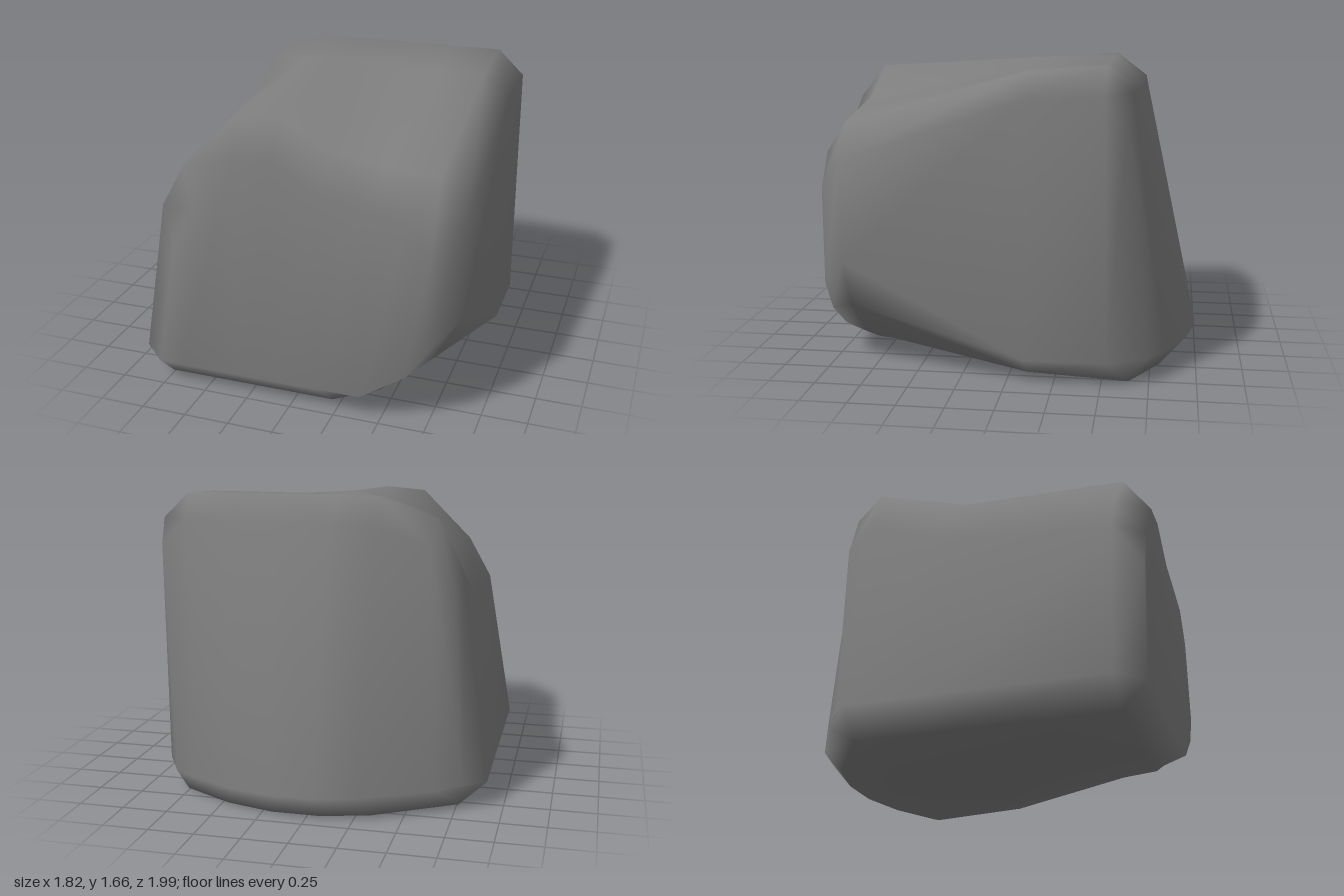
import * as THREE from 'three';

// Eight columns from -x to +x: positions along the base and along the top
const baseX = [-0.91, -0.76, -0.32, -0.06, 0.2, 0.47, 0.76, 0.905];
const topX = [-0.755, -0.62, -0.32, -0.08, 0.21, 0.5, 0.76, 0.905];

// Height of the top at each column: humped front, slightly hollow middle, full back
const frontTop = [1.03, 1.27, 1.57, 1.59, 1.44, 1.4, 1.36, 1.18];
const middleTop = [1.12, 1.39, 1.6, 1.65, 1.63, 1.63, 1.63, 1.5];
const backTop = [1.28, 1.555, 1.66, 1.66, 1.66, 1.66, 1.66, 1.52];

const COLS = baseX.length;
const RING = COLS * 2;
const BEVEL = 0.14;

const flat = (z) => () => z;
const bowedBase = (x) => -1 + 0.5 * (x - 0.07) ** 2;
const bowedEdge = (x) => (Math.abs(x) > 0.9 ? -0.53 : bowedBase(x) + 0.12);
const bowedTop = (x) => -0.69 + 0.09 * x * x;

// Sections from front to back; the rims are pulled in and lowered to form the bevels
const sections = [
  { top: frontTop, drop: 0.18, baseScale: 0.84, topScale: 0.84, lift: BEVEL, baseZ: flat(1), topZ: flat(1) },
  { top: frontTop, drop: 0, baseScale: 1, topScale: 1, lift: 0, baseZ: flat(0.86), topZ: flat(0.86) },
  { top: middleTop, drop: 0, baseScale: 1, topScale: 1, lift: 0, baseZ: flat(-0.1), topZ: flat(-0.1) },
  { top: backTop, drop: 0, baseScale: 1, topScale: 1, lift: 0, baseZ: bowedEdge, topZ: flat(-0.51) },
  { top: backTop, drop: 0.13, baseScale: 0.87, topScale: 0.97, lift: BEVEL, baseZ: bowedBase, topZ: bowedTop },
];

// The underside is flat, bevelled at the sides, and rounded upwards at the front left corner
function basePoint(section, i) {
  const x = baseX[i] * section.baseScale;
  const z = section.baseZ(x);
  const u = Math.max(0, x - 0.2 + (z - 0.9) * 0.5);
  const corner = 0.45 * u + 1.5 * u ** 4;
  const outer = i === 0 || i === COLS - 1;
  return [x, Math.max(outer ? BEVEL : section.lift, corner), z];
}

function topPoint(section, i) {
  const x = topX[i] * section.topScale;
  return [x, section.top[i] - section.drop, section.topZ(x)];
}

function boulderGeometry() {
  const positions = [];
  const index = [];
  const quad = (a, b, c, d) => index.push(a, b, c, a, c, d);

  // each ring runs along the base, then back along the top
  for (const section of sections) {
    for (let i = 0; i < COLS; i++) positions.push(...basePoint(section, i));
    for (let i = COLS - 1; i >= 0; i--) positions.push(...topPoint(section, i));
  }

  // skin between neighbouring rings
  for (let s = 0; s < sections.length - 1; s++) {
    for (let k = 0; k < RING; k++) {
      const a = s * RING + k;
      const b = s * RING + ((k + 1) % RING);
      quad(a, a + RING, b + RING, b);
    }
  }

  // front and back faces, as strips between base and top columns
  const last = (sections.length - 1) * RING;
  for (let i = 0; i < COLS - 1; i++) {
    const top = RING - 1 - i;
    quad(i, i + 1, top - 1, top);
    quad(last + i, last + top, last + top - 1, last + i + 1);
  }

  const geometry = new THREE.BufferGeometry();
  geometry.setAttribute('position', new THREE.Float32BufferAttribute(positions, 3));
  geometry.setIndex(index);
  geometry.computeVertexNormals();
  return geometry;
}

export function createModel() {
  const group = new THREE.Group();
  group.name = 'rock';
  const boulder = new THREE.Mesh(
    boulderGeometry(),
    new THREE.MeshStandardMaterial({ color: 0x7e7e7e }),
  );
  boulder.name = 'boulder';
  group.add(boulder);
  return group;
}
